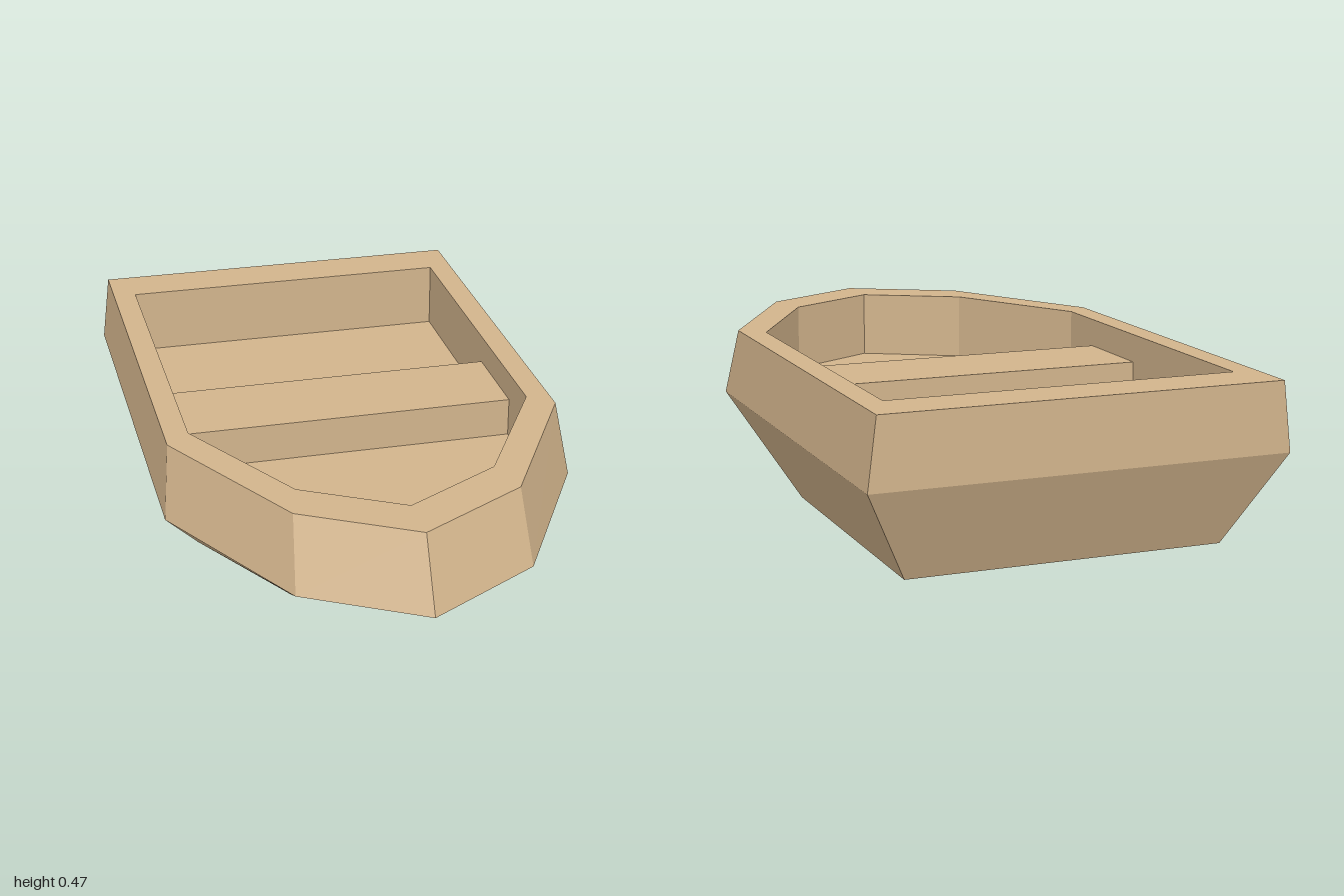
import * as THREE from 'three';

// Plan outline at one height: straight stern, parallel sides, pointed bow.
function outline(y, width, stern, side, shoulderX, shoulderZ, bow) {
  const half = [[width, stern], [width, side], [shoulderX, shoulderZ]];
  const plan = [...half, [0, bow], ...half.map(([x, z]) => [-x, z]).reverse()];
  return plan.map(([x, z]) => [x, y, z]);
}

function meshFrom(name, positions, material) {
  const geometry = new THREE.BufferGeometry();
  geometry.setAttribute('position', new THREE.Float32BufferAttribute(positions.flat(), 3));
  geometry.computeVertexNormals(); // unshared corners give flat facets
  const mesh = new THREE.Mesh(geometry, material);
  mesh.name = name;
  return mesh;
}

// Band of quads joining two outlines.
function band(name, a, b, material) {
  const positions = [];
  a.forEach((p, i) => {
    const j = (i + 1) % a.length;
    positions.push(a[j], p, b[i], a[j], b[i], b[j]);
  });
  return meshFrom(name, positions, material);
}

// Flat panel filling one outline.
function panel(name, ring, facesUp, material) {
  const positions = [];
  for (let i = 1; i < ring.length - 1; i++) {
    positions.push(ring[0], ...(facesUp ? [ring[i + 1], ring[i]] : [ring[i], ring[i + 1]]));
  }
  return meshFrom(name, positions, material);
}

export function createModel() {
  const wood = new THREE.MeshStandardMaterial({ color: 0xd2b48c });
  wood.name = 'tan wood';

  const keel = outline(0, 0.46, -0.88, 0, 0.25, 0.365, 0.505);
  const chine = outline(0.27, 0.6, -1, 0.32, 0.33, 0.81, 1);
  const gunwale = outline(0.47, 0.575, -1, 0.25, 0.315, 0.72, 0.9);
  const innerRim = outline(0.47, 0.505, -0.85, 0.19, 0.28, 0.59, 0.75);
  const floor = innerRim.map(([x, , z]) => [x, 0.27, z]);

  const boat = new THREE.Group();
  boat.name = 'rowingBoat';
  boat.add(
    panel('hullBottom', keel, false, wood),
    band('lowerHull', keel, chine, wood),
    band('upperHull', chine, gunwale, wood),
    band('rim', gunwale, innerRim, wood),
    band('innerWalls', innerRim, floor, wood),
    panel('floor', floor, true, wood),
  );

  // Bench across the middle
  const seat = new THREE.Mesh(new THREE.BoxGeometry(1.01, 0.118, 0.285), wood);
  seat.name = 'seat';
  seat.position.set(0, 0.328, -0.108);
  boat.add(seat);
  return boat;
}
